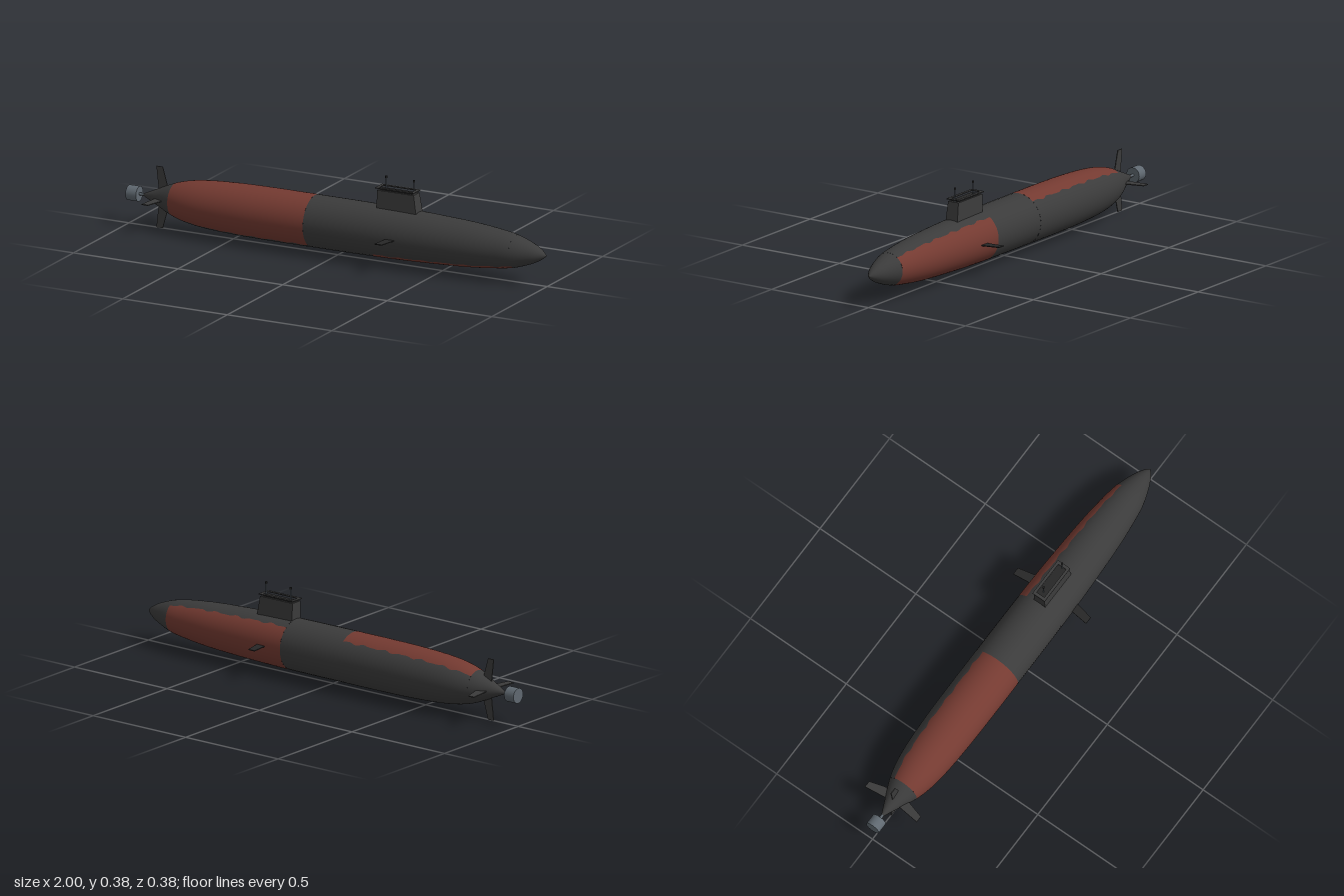
import * as THREE from 'three';

const mat = (name, color, side = THREE.FrontSide) => {
  const m = new THREE.MeshStandardMaterial({ color, side });
  m.name = name;
  return m;
};
const AXIS = 0.135; // height of the hull axis
const rad = THREE.MathUtils.degToRad;

// Hull radius along x, from tail to nose
const PROFILE = [
  [-0.93, 0.005], [-0.86, 0.036], [-0.78, 0.071], [-0.7, 0.092], [-0.6, 0.104],
  [-0.45, 0.111], [-0.28, 0.113], [-0.11, 0.113], [0.04, 0.113], [0.2, 0.112],
  [0.36, 0.109], [0.52, 0.103], [0.65, 0.096], [0.76, 0.085], [0.85, 0.071],
  [0.93, 0.044], [0.975, 0.02], [0.997, 0.0005],
].map(([x, r]) => new THREE.Vector2(x, r));
const curve = new THREE.SplineCurve(PROFILE);

// Strip of hull between two profile points and two angle functions of x (0 = +z, 90 = up)
function hullBand(i0, i1, from, to) {
  const nu = (i1 - i0) * 12, nv = 32;
  const pos = [], nor = [], idx = [];
  for (let i = 0; i <= nu; i++) {
    const t = (i0 + i / 12) / (PROFILE.length - 1);
    const p = curve.getPoint(t), d = curve.getTangent(t);
    for (let j = 0; j <= nv; j++) {
      const a = rad(THREE.MathUtils.lerp(from(p.x), to(p.x), j / nv));
      const s = Math.sin(a), c = Math.cos(a);
      pos.push(p.x, AXIS + p.y * s, p.y * c);
      nor.push(-d.y, d.x * s, d.x * c);
      if (i < nu && j < nv) {
        const k = i * (nv + 1) + j, n = k + nv + 1;
        idx.push(k, n, n + 1, k, n + 1, k + 1);
      }
    }
  }
  const g = new THREE.BufferGeometry();
  g.setAttribute('position', new THREE.Float32BufferAttribute(pos, 3));
  g.setAttribute('normal', new THREE.Float32BufferAttribute(nor, 3));
  g.setIndex(idx);
  return g;
}

// Ragged edge of a paint patch, in degrees
const ragged = (deg) => (x) => deg + 2 * Math.sin(x * 62) + 1.2 * Math.sin(x * 101 + 1);

const polygon = (pts) => new THREE.Shape(pts.map(([x, y]) => new THREE.Vector2(x, y)));

// Thin fin drawn in x and span, centred on its thickness
function finGeometry(pts, depth) {
  const g = new THREE.ExtrudeGeometry(polygon(pts), { depth, bevelEnabled: false });
  g.translate(0, 0, -depth / 2);
  return g;
}

export function createModel() {
  const model = new THREE.Group();
  const dark = mat('hull charcoal', 0x3b3b3b);
  const red = mat('patch red', 0x743a31);
  const black = mat('fitting black', 0x262626);
  const steel = mat('steel grey', 0x5f6870);
  const add = (name, geo, material, x = 0, y = 0, z = 0, parent = model) => {
    const m = new THREE.Mesh(geo, material);
    m.name = name;
    m.position.set(x, y, z);
    parent.add(m);
    return m;
  };

  // Hull, with one half-round red patch aft and one forward on the opposite side
  const hull = new THREE.Group();
  hull.name = 'hull';
  model.add(hull);
  const band = (name, m, ...args) => add(name, hullBand(...args), m, 0, 0, 0, hull);
  const zero = () => 0, full = () => 360;
  const aftLow = ragged(-54), aftHigh = ragged(129);
  const foreHigh = ragged(126), foreLow = ragged(309);
  band('tailCone', dark, 0, 2, zero, full);
  band('aftRedPatch', red, 2, 7, aftLow, aftHigh);
  band('aftHull', dark, 2, 7, aftHigh, (x) => aftLow(x) + 360);
  band('middleHull', dark, 7, 9, zero, full);
  band('foreRedPatch', red, 9, 14, foreHigh, foreLow);
  band('foreHull', dark, 9, 14, (x) => foreLow(x) - 360, foreHigh);
  band('nose', dark, 14, 17, zero, full);

  // Sail: box tapered towards the top, with a slanted leading edge
  const sailGeo = new THREE.BoxGeometry(0.19, 0.1, 0.062);
  const sp = sailGeo.attributes.position;
  for (let i = 0; i < sp.count; i++) {
    if (sp.getY(i) < 0) continue;
    sp.setZ(i, sp.getZ(i) * 0.86);
    sp.setX(i, sp.getX(i) > 0 ? 0.079 : -0.097);
  }
  sailGeo.computeVertexNormals();
  add('sail', sailGeo, dark, 0.296, 0.27, 0);

  // Rim around the sail top
  const rim = polygon([[0.194, -0.032], [0.378, -0.032], [0.378, 0.032], [0.194, 0.032]]);
  rim.holes.push(polygon([[0.208, -0.02], [0.208, 0.02], [0.364, 0.02], [0.364, -0.02]]));
  const rimGeo = new THREE.ExtrudeGeometry(rim, { depth: 0.004, bevelEnabled: false });
  rimGeo.rotateX(-Math.PI / 2);
  add('sailRim', rimGeo, dark, 0, 0.328, 0);
  add('sailFloor', new THREE.BoxGeometry(0.156, 0.002, 0.04), black, 0.286, 0.3205, 0);

  // Two masts
  for (const x of [0.23, 0.363]) {
    add('mast', new THREE.CylinderGeometry(0.0028, 0.0028, 0.054, 10), steel, x, 0.346, 0);
    add('mastHead', new THREE.CylinderGeometry(0.0048, 0.0048, 0.009, 10), black, x, 0.3755, 0);
  }

  // Bow planes, one each side
  const plane = finGeometry([[0.285, 0.09], [0.33, 0.09], [0.308, 0.19], [0.274, 0.19]], 0.0035);
  for (const side of [1, -1]) {
    add('bowPlane', plane, black, 0, AXIS, 0).rotation.x = side * Math.PI / 2;
  }

  // Four tail fins in a cross
  const fin = finGeometry([[-0.855, 0.02], [-0.805, 0.02], [-0.838, 0.135], [-0.868, 0.135]], 0.004);
  for (let i = 0; i < 4; i++) {
    add('tailFin', fin, dark, 0, AXIS, 0).rotation.x = i * Math.PI / 2;
  }

  // Propulsor on its shaft
  const shaft = new THREE.CylinderGeometry(0.006, 0.006, 0.06, 14).rotateZ(Math.PI / 2);
  add('propellerShaft', shaft, steel, -0.935, AXIS, 0);
  const drum = new THREE.CylinderGeometry(0.033, 0.033, 0.05, 28).rotateZ(Math.PI / 2);
  add('propulsor', drum, steel, -0.975, AXIS, 0);

  return model;
}
